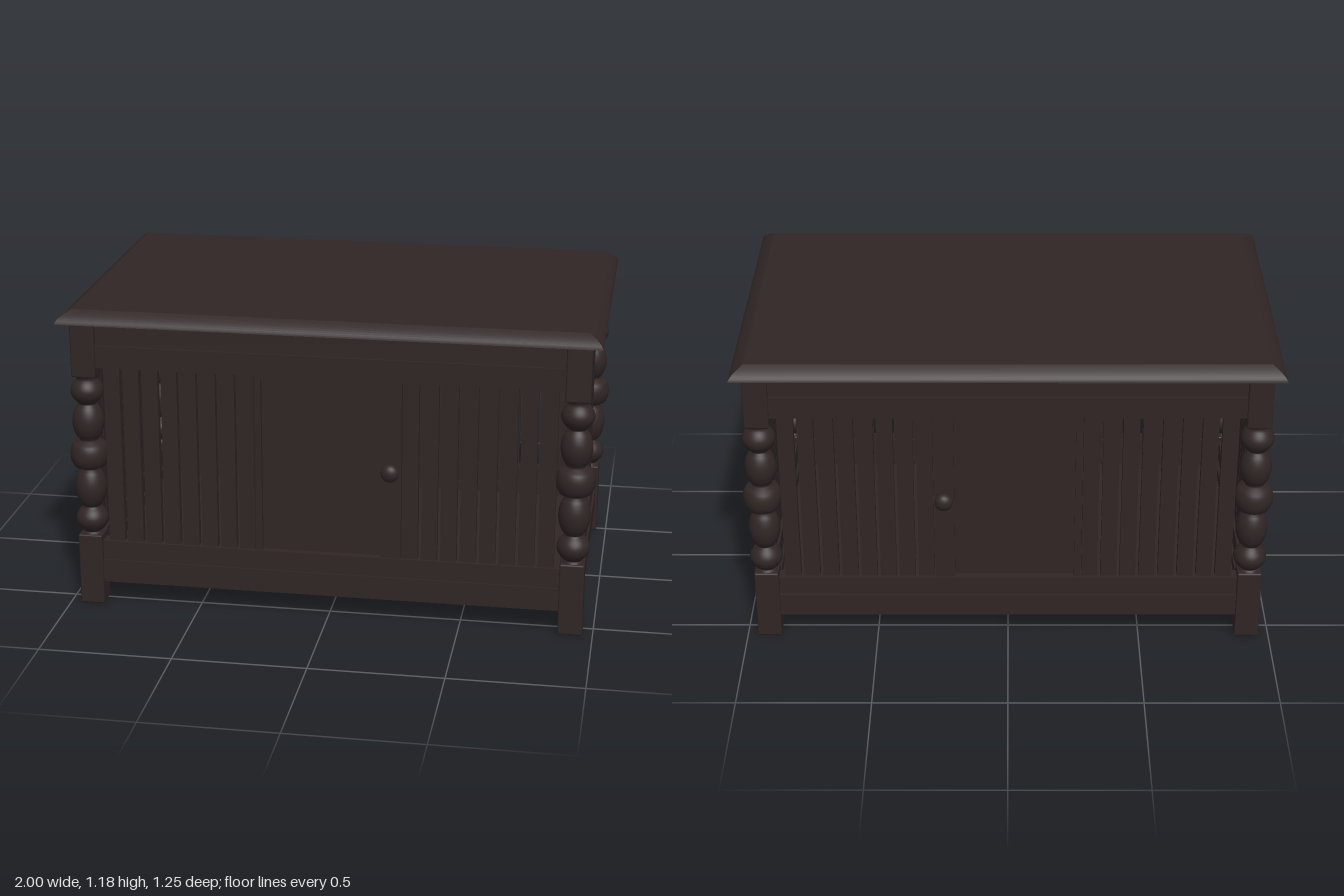
import * as THREE from 'three';
import { RoundedBoxGeometry } from 'three/addons/geometries/RoundedBoxGeometry.js';

export function createModel() {
  const model = new THREE.Group();
  model.name = 'slattedCabinet';
  const wood = new THREE.MeshStandardMaterial({ color: 0x302525 });
  wood.name = 'darkWood';

  const add = (name, geometry, parent, x = 0, y = 0, z = 0) => {
    const mesh = new THREE.Mesh(geometry, wood);
    mesh.name = name;
    mesh.position.set(x, y, z);
    parent.add(mesh);
    return mesh;
  };
  // Box given by its low and high bounds on each axis
  const block = (name, parent, [x0, x1], [y0, y1], [z0, z1]) =>
    add(name, new THREE.BoxGeometry(x1 - x0, y1 - y0, z1 - z0), parent,
      (x0 + x1) / 2, (y0 + y1) / 2, (z0 + z1) / 2);

  // Lid: a slab whose sides curve inwards towards the top
  const lidHeight = 0.048;
  const lid = new THREE.BoxGeometry(2, lidHeight, 1.25, 1, 8, 1);
  const p = lid.attributes.position;
  for (let i = 0; i < p.count; i++) {
    const t = THREE.MathUtils.clamp(p.getY(i) / lidHeight + 0.5, 0, 1);
    const inset = 0.052 * Math.pow(t, 1.7);
    p.setX(i, p.getX(i) - Math.sign(p.getX(i)) * inset);
    p.setZ(i, p.getZ(i) - Math.sign(p.getZ(i)) * inset);
  }
  lid.computeVertexNormals();
  add('lid', lid, model, 0, 1.13 + lidHeight / 2, 0);

  // Turned legs: square blocks joined by beads, vases and a centre ring
  const profile = [[0, 0.26], [0.045, 0.265], [0.043, 0.28], [0.033, 0.288]];
  const swell = (y0, y1, neck, belly, power) => {
    for (let i = 0; i <= 12; i++) {
      const t = i / 12;
      const bulge = Math.pow(Math.max(0, Math.sin(Math.PI * t)), power);
      profile.push([neck + (belly - neck) * bulge, y0 + (y1 - y0) * t]);
    }
  };
  swell(0.29, 0.388, 0.032, 0.062, 0.8);
  swell(0.392, 0.54, 0.034, 0.06, 0.7);
  swell(0.545, 0.655, 0.038, 0.073, 0.4);
  swell(0.66, 0.798, 0.034, 0.06, 0.7);
  swell(0.802, 0.9, 0.032, 0.062, 0.8);
  profile.push([0.043, 0.908], [0.045, 0.925], [0, 0.93]);
  const turning = new THREE.LatheGeometry(profile.map(([r, y]) => new THREE.Vector2(r, y)), 32);
  const foot = new RoundedBoxGeometry(0.092, 0.282, 0.092, 2, 0.006);
  const head = new RoundedBoxGeometry(0.092, 0.22, 0.092, 2, 0.006);
  for (const x of [-0.915, 0.915]) {
    for (const z of [-0.525, 0.525]) {
      const leg = new THREE.Group();
      leg.name = 'leg';
      leg.position.set(x, 0, z);
      add('foot', foot, leg, 0, 0.141, 0);
      add('turning', turning, leg);
      add('legHead', head, leg, 0, 1.022, 0);
      model.add(leg);
    }
  }

  // Long faces, front and back: rails, slats and a door
  for (const side of [1, -1]) {
    const face = new THREE.Group();
    face.name = side > 0 ? 'frontFace' : 'backFace';
    const depth = (a, b) => (side > 0 ? [a, b] : [-b, -a]);
    const span = [-0.875, 0.875];
    block('lowerRail', face, span, [0.09, 0.18], depth(0.49, 0.56));
    block('lowerSlatRail', face, span, [0.18, 0.255], depth(0.5, 0.552));
    block('upperSlatRail', face, span, [0.95, 1.035], depth(0.5, 0.56));
    block('upperRail', face, span, [1.035, 1.13], depth(0.49, 0.552));
    for (const dir of [-1, 1]) {
      for (let i = 0; i < 8; i++) {
        const x = dir * (0.308 + 0.0725 * i);
        block('slat', face, [x - 0.03, x + 0.03], [0.25, 0.955], depth(0.51, 0.54));
      }
    }
    // Door: stiles around a recessed panel, with a round knob
    block('hingeStile', face, [-0.275, -0.25], [0.255, 0.95], depth(0.51, 0.545));
    block('knobStile', face, [0.2, 0.275], [0.255, 0.95], depth(0.51, 0.545));
    block('doorTopEdge', face, [-0.25, 0.2], [0.935, 0.95], depth(0.51, 0.545));
    block('doorPanel', face, [-0.25, 0.2], [0.255, 0.935], depth(0.505, 0.525));
    const stem = add('knobStem', new THREE.CylinderGeometry(0.015, 0.02, 0.03, 20), face, 0.238, 0.607, side * 0.553);
    stem.rotation.x = Math.PI / 2;
    const knob = add('knob', new THREE.SphereGeometry(0.034, 24, 16), face, 0.238, 0.607, side * 0.582);
    knob.scale.z = 0.75;
    model.add(face);
  }

  // Short faces, left and right: rails and slats
  for (const side of [1, -1]) {
    const face = new THREE.Group();
    face.name = side > 0 ? 'leftFace' : 'rightFace';
    const out = (a, b) => (side > 0 ? [a, b] : [-b, -a]);
    const span = [-0.485, 0.485];
    block('lowerRail', face, out(0.88, 0.95), [0.09, 0.18], span);
    block('lowerSlatRail', face, out(0.89, 0.942), [0.18, 0.255], span);
    block('upperSlatRail', face, out(0.89, 0.95), [0.945, 1.03], span);
    block('upperRail', face, out(0.88, 0.942), [1.03, 1.13], span);
    for (let i = -6; i <= 6; i++) {
      const z = i * 0.0703;
      block('slat', face, out(0.9, 0.93), [0.25, 0.95], [z - 0.031, z + 0.031]);
    }
    model.add(face);
  }

  // Floor board, set just above the bottom of the rails
  block('floor', model, [-0.89, 0.89], [0.115, 0.14], [-0.5, 0.5]);

  return model;
}
